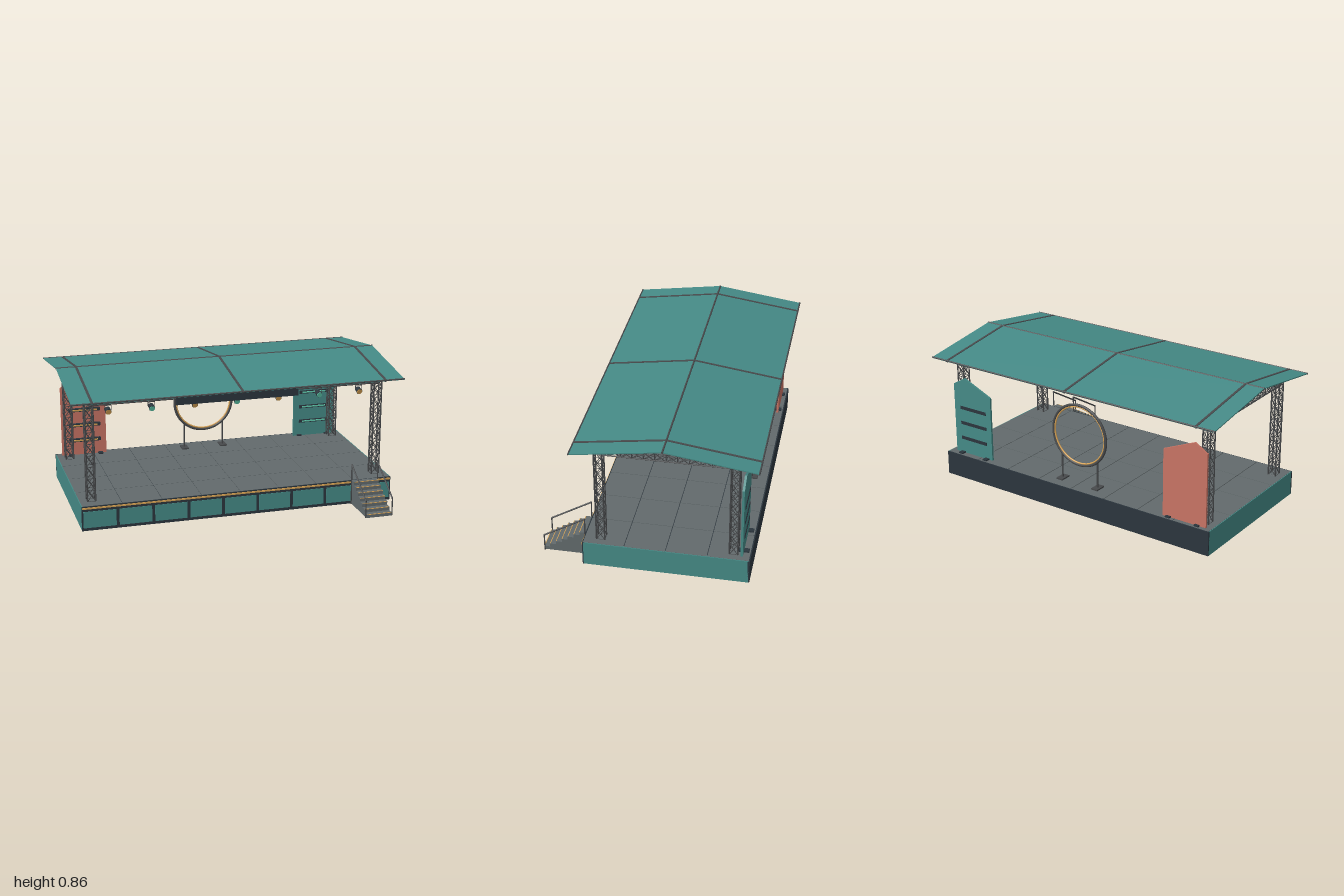
import * as THREE from 'three';
import { mergeGeometries } from 'three/addons/utils/BufferGeometryUtils.js';

const mat = (color) => new THREE.MeshStandardMaterial({ color });
const M = {
  teal: mat(0x458a86), coral: mat(0xc87464), dark: mat(0x2b353d), metal: mat(0x484a4c),
  deck: mat(0x626a6c), amber: mat(0xd9a455), mint: mat(0x62cfb2), silver: mat(0xcccccc),
};
const V = (x, y, z) => new THREE.Vector3(x, y, z);

function add(parent, name, geo, material, x = 0, y = 0, z = 0) {
  const m = new THREE.Mesh(geo, material);
  m.name = name;
  m.position.set(x, y, z);
  parent.add(m);
  return m;
}
const box = (parent, name, material, w, h, d, x, y, z) =>
  add(parent, name, new THREE.BoxGeometry(w, h, d), material, x, y, z);

// Round bar between two points
function rod(a, b, r, sides = 6) {
  const dir = b.clone().sub(a);
  const g = new THREE.CylinderGeometry(r, r, dir.length(), sides);
  g.applyQuaternion(new THREE.Quaternion().setFromUnitVectors(V(0, 1, 0), dir.normalize()));
  const mid = a.clone().add(b).multiplyScalar(0.5);
  return g.translate(mid.x, mid.y, mid.z);
}

// Square lattice truss: four chords, bay frames and crossed braces
function truss(a, b, w, bays) {
  const axis = b.clone().sub(a).normalize();
  const u = Math.abs(axis.y) > 0.5 ? V(1, 0, 0) : V(0, 1, 0);
  const v = axis.clone().cross(u);
  const corners = [[-1, -1], [1, -1], [1, 1], [-1, 1]];
  const at = (i, t) => a.clone().lerp(b, t)
    .addScaledVector(u, corners[i % 4][0] * w / 2)
    .addScaledVector(v, corners[i % 4][1] * w / 2);
  const parts = [];
  for (let i = 0; i < 4; i++) {
    parts.push(rod(at(i, 0), at(i, 1), 0.0042));
    for (let k = 0; k <= bays; k++) {
      const t = k / bays, t2 = (k + 1) / bays;
      parts.push(rod(at(i, t), at(i + 1, t), 0.0022, 5));
      if (k === bays) break;
      parts.push(rod(at(i, t), at(i + 1, t2), 0.0022, 5), rod(at(i + 1, t), at(i, t2), 0.0022, 5));
    }
  }
  return mergeGeometries(parts);
}

// Outline given as [z, y] points, extruded along x
function acrossX(points, width) {
  const shape = new THREE.Shape(points.map(([z, y]) => new THREE.Vector2(-z, y)));
  return new THREE.ExtrudeGeometry(shape, { depth: width, bevelEnabled: false })
    .translate(0, 0, -width / 2).rotateY(Math.PI / 2);
}

function buildPlatform(g) {
  // Deck tiles over a thin slab, open underneath
  box(g, 'deckSlab', M.dark, 1.88, 0.008, 0.94, 0, 0.141, -0.102);
  const nx = 8, nz = 4, tw = 1.9 / nx, td = 0.955 / nz;
  for (let i = 0; i < nx; i++) for (let k = 0; k < nz; k++) {
    box(g, 'deckTile', M.deck, tw - 0.004, 0.015, td - 0.004,
      -0.95 + tw * (i + 0.5), 0.1425, -0.58 + td * (k + 0.5));
  }
  for (const s of [-1, 1]) box(g, 'sideSkirt', M.teal, 0.012, 0.149, 0.95, s * 0.947, 0.0745, -0.103);
  box(g, 'backSkirt', M.dark, 1.906, 0.149, 0.012, 0, 0.0745, -0.579);
  // Front fascia: dark frame, nine coloured panels, amber edge strip
  box(g, 'frontSkirt', M.dark, 1.906, 0.149, 0.01, 0, 0.0745, 0.373);
  const pitch = 1.906 / 9;
  for (let i = 0; i < 9; i++) {
    box(g, 'fasciaPanel', M.teal, pitch - 0.018, 0.1, 0.004, (i - 4) * pitch, 0.068, 0.379);
  }
  box(g, 'edgeStrip', M.amber, 1.9, 0.01, 0.006, 0, 0.138, 0.379);
}

function buildStairs(g) {
  const n = 7, run = 0.25 / n, rise = 0.15 / n;
  for (let i = 0; i < n; i++) {
    const h = rise * (i + 1), z = 0.63 - run * (i + 0.5);
    box(g, 'step', M.deck, 0.16, h, run, 0.782, h / 2, z);
    box(g, 'stepNosing', M.amber, 0.156, 0.003, 0.004, 0.782, h - 0.001, z + run / 2 - 0.001);
  }
  for (const x of [0.699, 0.866]) {
    const low = V(x, 0.105, 0.625), high = V(x, 0.252, 0.378);
    add(g, 'handrail', mergeGeometries([
      rod(low, high, 0.005, 8), rod(V(x, 0, 0.625), low, 0.004, 8), rod(V(x, 0.0, 0.385), V(x, 0.25, 0.38), 0.004, 8),
    ]), M.metal);
  }
}

function buildFrame(g) {
  const X = 0.88, F = 0.28, B = -0.485, top = 0.755;
  for (const x of [-X, X]) {
    for (const z of [F, B]) {
      add(g, 'tower', truss(V(x, 0.01, z), V(x, 0.78, z), 0.048, 11), M.metal);
      box(g, 'towerBase', M.metal, 0.1, 0.012, 0.1, x, 0.006, z);
      box(g, 'towerCap', M.metal, 0.056, 0.005, 0.056, x, 0.78, z);
      add(g, 'roofPost', rod(V(x, 0.78, z), V(x, 0.798, z), 0.006, 8), M.metal);
    }
    add(g, 'sideBeam', truss(V(x, top, F), V(x, top, B), 0.048, 12), M.metal);
  }
  for (const z of [F, B]) add(g, 'crossBeam', truss(V(-X, top, z), V(X, top, z), 0.048, 28), M.metal);
}

function buildRoof(g) {
  // Shallow pitched canopy with ribs, ridge and eave bars
  const chevron = (lift, t) => [[0.423, 0.776 + lift], [-0.1, 0.851 + lift], [-0.628, 0.776 + lift],
    [-0.628, 0.776 + lift - t], [-0.1, 0.851 + lift - t], [0.423, 0.776 + lift - t]];
  add(g, 'canopy', acrossX(chevron(0.002, 0.006), 1.996), M.teal);
  for (const x of [-0.88, 0, 0.88]) add(g, 'roofRib', acrossX(chevron(0.005, 0.012), 0.014), M.metal, x);
  add(g, 'ridgeBar', rod(V(-1, 0.851, -0.1), V(1, 0.851, -0.1), 0.006, 8), M.metal);
  for (const z of [0.42, -0.625]) add(g, 'eaveBar', rod(V(-1, 0.777, z), V(1, 0.777, z), 0.005, 8), M.metal);
}

function buildLamps(g) {
  for (let i = -3; i <= 3; i++) {
    const lamp = new THREE.Group();
    lamp.name = 'spotlight';
    lamp.position.set(i * 0.255, 0.687, 0.28);
    g.add(lamp);
    const head = new THREE.Group();
    head.name = 'lampHead';
    head.rotation.x = 0.3;
    lamp.add(head);
    add(head, 'lampBody', new THREE.CylinderGeometry(0.018, 0.015, 0.036, 16).rotateX(Math.PI / 2), M.dark);
    add(head, 'lens', new THREE.CylinderGeometry(0.016, 0.016, 0.004, 16).rotateX(Math.PI / 2),
      i % 2 ? M.amber : M.mint, 0, 0, 0.019);
    add(lamp, 'yoke', mergeGeometries([
      rod(V(-0.02, 0, 0), V(-0.02, 0.03, 0), 0.002), rod(V(0.02, 0, 0), V(0.02, 0.03, 0), 0.002),
      rod(V(-0.021, 0.03, 0), V(0.021, 0.03, 0), 0.002), rod(V(0, 0.03, 0), V(0, 0.046, 0), 0.003),
    ]), M.metal);
  }
}

function buildRing(g) {
  const y = 0.457, z = -0.485;
  add(g, 'ringFrame', new THREE.TorusGeometry(0.189, 0.0085, 10, 64), M.metal, 0, y, z);
  add(g, 'ringGlow', new THREE.TorusGeometry(0.178, 0.005, 8, 64), M.amber, 0, y, z);
  for (const x of [-0.128, 0.128]) {
    add(g, 'ringPost', rod(V(x, 0.15, z), V(x, 0.318, z), 0.0055, 8), M.metal);
    box(g, 'ringFoot', M.metal, 0.044, 0.009, 0.07, x, 0.154, z);
  }
}

// Slanted backdrop panel with three light bars
function buildWing(g, side, z, panelMat, glowMat) {
  const pts = [[0.63, 0.15], [0.915, 0.15], [0.915, 0.597], [0.832, 0.646], [0.63, 0.56]];
  const shape = new THREE.Shape(pts.map(([x, y]) => new THREE.Vector2(side * x, y)));
  add(g, 'wingPanel', new THREE.ExtrudeGeometry(shape, { depth: 0.013, bevelEnabled: false }),
    panelMat, 0, 0, z - 0.0065);
  for (const y of [0.25, 0.35, 0.45]) {
    box(g, 'lightBar', M.dark, 0.2, 0.02, 0.023, side * 0.768, y, -0.5315);
    box(g, 'lightStrip', glowMat, 0.16, 0.009, 0.004, side * 0.768, y, -0.519);
  }
  for (const x of [0.67, 0.86]) box(g, 'wingFoot', M.dark, 0.03, 0.009, 0.06, side * x, 0.154, -0.54);
}

export function createModel() {
  const model = new THREE.Group();
  model.name = 'openAirStage';
  const section = (name, build, ...args) => {
    const g = new THREE.Group();
    g.name = name;
    build(g, ...args);
    model.add(g);
  };
  section('platform', buildPlatform);
  section('stairs', buildStairs);
  section('trussFrame', buildFrame);
  section('roof', buildRoof);
  section('lamps', buildLamps);
  section('ring', buildRing);
  section('rightWing', buildWing, -1, -0.547, M.coral, M.amber);
  section('leftWing', buildWing, 1, -0.533, M.teal, M.mint);
  // Blank header board on the front beam
  box(model, 'headerBoard', M.dark, 0.74, 0.081, 0.012, 0, 0.736, 0.312);
  return model;
}
